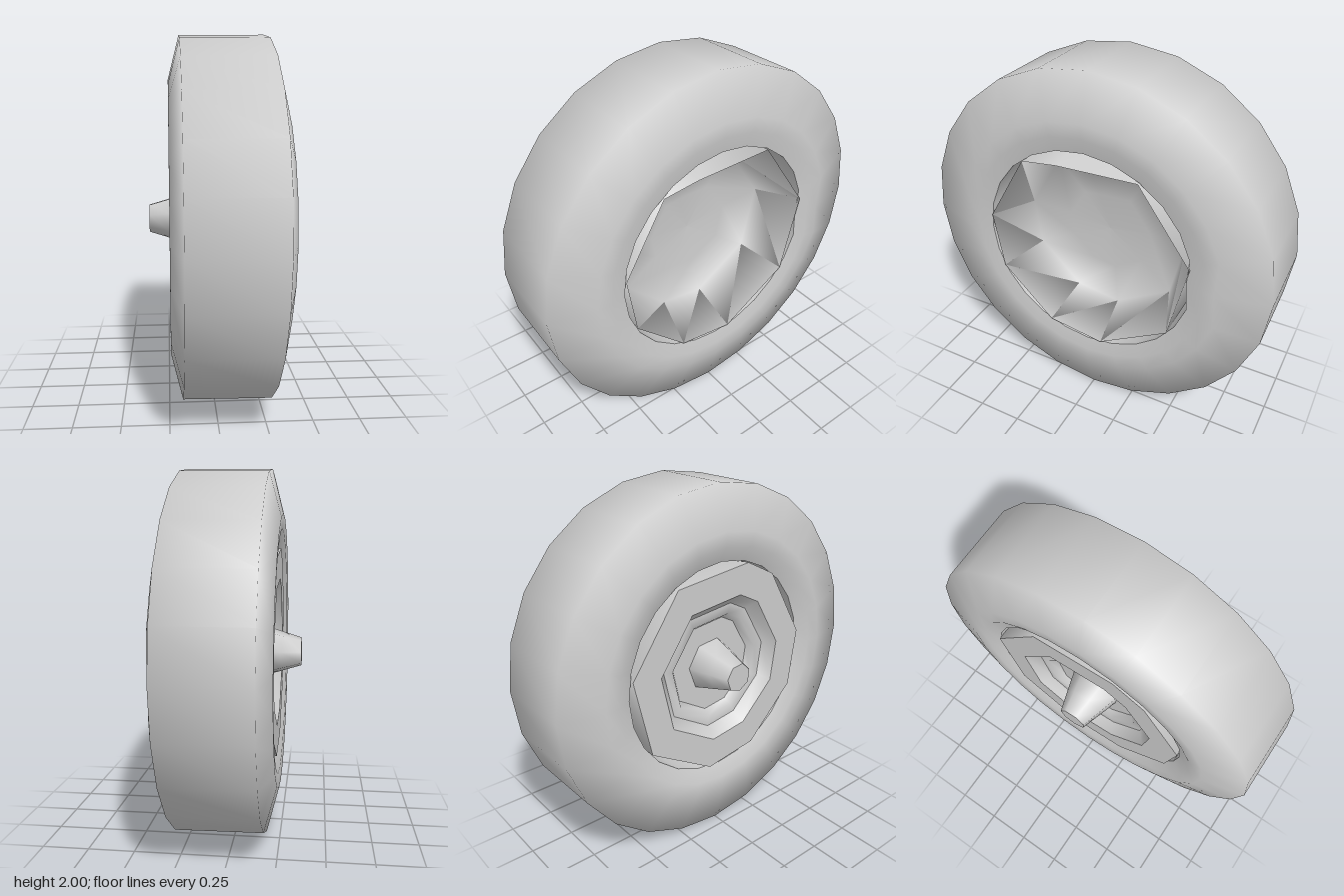
import * as THREE from 'three';

const rad = THREE.MathUtils.degToRad;

// Even ring of angles in degrees
const even = (n, start = 0) => Array.from({ length: n }, (_, i) => start + (i * 360) / n);

// Sweeps a profile of [x, radius] points round the x axis through the given angles.
// A repeated profile point makes a sharp edge; scale(x, angle) dents the radius.
function spin(name, profile, angles, material, scale = () => 1) {
  const n = angles.length, pos = [], index = [];
  for (const [x, r] of profile) {
    for (const a of angles) {
      const s = r * scale(x, a);
      pos.push(x, s * Math.sin(rad(a)), s * Math.cos(rad(a)));
    }
  }
  for (let i = 0; i < profile.length - 1; i++) {
    const [p, q] = [profile[i], profile[i + 1]];
    if (p[0] === q[0] && p[1] === q[1]) continue;
    for (let j = 0; j < n; j++) {
      const k = (j + 1) % n;
      const a = i * n + j, b = i * n + k, c = a + n, d = b + n;
      if (p[1] > 0) index.push(a, c, b);
      if (q[1] > 0) index.push(b, c, d);
    }
  }
  const g = new THREE.BufferGeometry();
  g.setAttribute('position', new THREE.Float32BufferAttribute(pos, 3));
  g.setIndex(index);
  g.computeVertexNormals();
  const mesh = new THREE.Mesh(g, material);
  mesh.name = name;
  return mesh;
}

export function createModel() {
  const grey = new THREE.MeshStandardMaterial({ color: 0xcccccc, side: THREE.DoubleSide });
  grey.name = 'plainGrey';

  const wheel = new THREE.Group();
  wheel.name = 'wheel';

  // Tyre: tread, sloping shoulders, flat side walls and the bore, with one notch in a shoulder
  const notch = (x, a) => (x > 0.3 && a === 180 ? 0.95 : 1);
  const tyre = spin('tyre', [
    [-0.2, 0.6], [-0.235, 0.68], [-0.24, 0.76], [-0.18, 0.995],
    [0.28, 1], [0.348, 0.76], [0.345, 0.68], [0.33, 0.6],
    [0.33, 0.6], [-0.2, 0.6],
  ], even(24), grey, notch);

  // Hub drum: uneven rim, stepped recess round the axle, deep dish on the other face.
  // One corner of the rim is cut off on the dished side.
  const cutCorner = (x, a) => (x > 0 && a === 73 ? 0.88 : 1);
  const drum = spin('hubDrum', [
    [-0.12, 0], [-0.12, 0.27], [-0.12, 0.27], [-0.16, 0.3], [-0.16, 0.36], [-0.16, 0.36],
    [-0.22, 0.42], [-0.22, 0.42], [-0.22, 0.595], [-0.22, 0.595],
    [0.34, 0.595], [0.09, 0.48], [0.06, 0.25], [0.05, 0],
  ], [8, 53, 73, 120, 170, 216, 262, 294, 335], grey, cutCorner);

  // Axle stub: small tapered cap
  const stub = spin('axleStub', [
    [-0.35, 0], [-0.35, 0.08], [-0.35, 0.08], [-0.24, 0.115], [-0.11, 0.155],
  ], even(7, 20), grey);

  wheel.add(tyre, drum, stub);
  wheel.position.y = 1;

  const model = new THREE.Group();
  model.name = 'model';
  model.add(wheel);
  return model;
}
